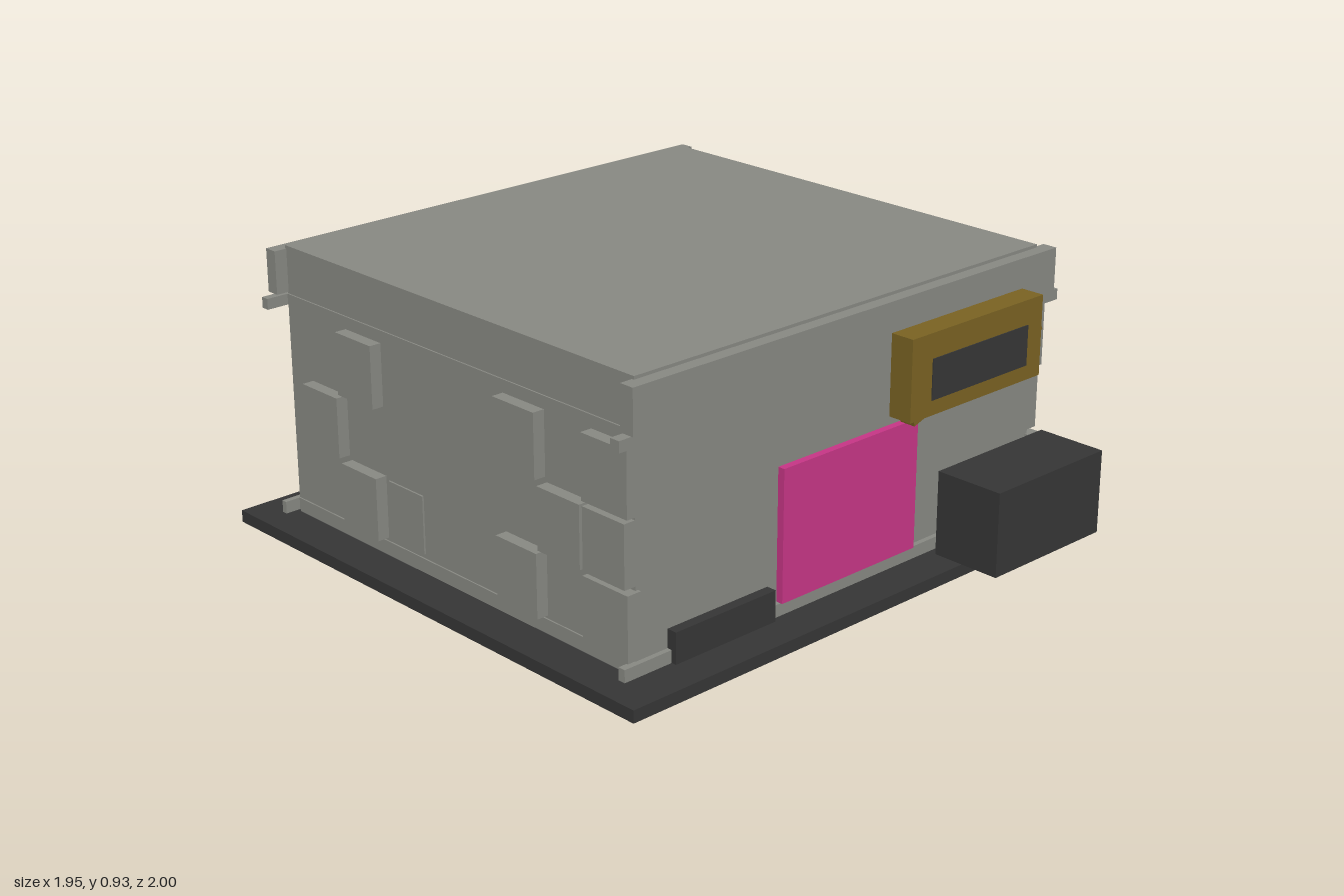
import * as THREE from 'three';

const mat = (name, color) => {
  const m = new THREE.MeshStandardMaterial({ color });
  m.name = name;
  return m;
};

export function createModel() {
  const stone = mat('stone grey', 0x868781);
  const dark = mat('charcoal', 0x353535);
  const pink = mat('door pink', 0xc43584);
  const gold = mat('sign gold', 0x786122);
  const rust = mat('rust brown', 0x834b37);

  const model = new THREE.Group();
  model.name = 'building';

  // Box given by its lower and upper limits on each axis
  function box(name, material, x0, x1, y0, y1, z0, z1) {
    const mesh = new THREE.Mesh(new THREE.BoxGeometry(x1 - x0, y1 - y0, z1 - z0), material);
    mesh.position.set((x0 + x1) / 2, (y0 + y1) / 2, (z0 + z1) / 2);
    mesh.name = name;
    model.add(mesh);
  }

  // Ground slab and main block
  box('groundSlab', dark, -0.973, 0.973, 0, 0.04, -1, 0.853);
  box('mainBlock', stone, -0.84, 0.84, 0.04, 0.93, -0.865, 0.718);

  // Parapet bands along the front and back
  box('frontParapet', stone, -0.883, 0.883, 0.78, 0.92, 0.71, 0.76);
  box('backParapet', stone, -0.883, 0.883, 0.78, 0.92, -0.905, -0.86);

  // Ledges: long bars front and back, nearly flush strips on the sides
  const ledges = [
    ['baseLedge', 0.05, 0.09, 0.897, 0.735, -0.88],
    ['upperLedge', 0.74, 0.775, 0.92, 0.745, -0.888],
  ];
  for (const [name, y0, y1, x, zFront, zBack] of ledges) {
    box(name + 'Front', stone, -x, x, y0, y1, 0.71, zFront);
    box(name + 'Back', stone, -x, x, y0, y1, zBack, -0.86);
    for (const s of [-1, 1]) {
      box(name + 'Side', stone, s * 0.842 - 0.003, s * 0.842 + 0.003, y0, y1, -0.86, 0.71);
    }
  }

  // Raised wall blocks on both sides, in three rows
  const rows = [
    [0.1, 0.305, [[0.545, 0.73], [0.17, 0.348], [-0.57, -0.397]]],
    [0.318, 0.515, [[0.547, 0.718], [0.355, 0.535], [-0.755, -0.58]]],
    [0.53, 0.732, [[0.545, 0.73], [0.17, 0.348], [-0.57, -0.397]]],
  ];
  for (const s of [-1, 1]) {
    for (const [y0, y1, spans] of rows) {
      for (const [z0, z1] of spans) {
        box('wallBlock', stone, s * 0.855 - 0.025, s * 0.855 + 0.025, y0, y1, z0, z1);
      }
    }
    box('thinWallBlock', stone, s * 0.84 - 0.006, s * 0.84 + 0.006, 0.105, 0.295, -0.38, -0.215);
  }
  box('backWallBlock', stone, 0.66, 0.85, 0.53, 0.732, -0.905, -0.86);

  // Front door, low bench and large crate
  box('door', pink, -0.287, 0.285, 0.09, 0.513, 0.715, 0.742);
  box('bench', dark, -0.72, -0.325, 0.05, 0.15, 0.715, 0.752);
  box('crate', dark, 0.365, 0.857, 0.05, 0.325, 0.762, 1);

  // Hanging sign with a dark panel
  box('sign', gold, 0.12, 0.71, 0.572, 0.83, 0.772, 0.853);
  box('signPanel', dark, 0.21, 0.643, 0.62, 0.75, 0.85, 0.856);

  // Pointed tips at the sign's lower and right edges
  const tips = [
    [[0.15, 0.575], [0.155, 0.55], [0.23, 0.575]],
    [[0.705, 0.7], [0.732, 0.712], [0.705, 0.785]],
  ];
  for (const points of tips) {
    const shape = new THREE.Shape(points.map(([x, y]) => new THREE.Vector2(x, y)));
    const tip = new THREE.Mesh(
      new THREE.ExtrudeGeometry(shape, { depth: 0.055, bevelEnabled: false }), gold);
    tip.position.z = 0.785;
    tip.name = 'signTip';
    model.add(tip);
  }

  // Freestanding slab behind the back wall
  box('rearSlab', rust, -0.233, 0.41, 0.05, 0.305, -1, -0.923);

  return model;
}
